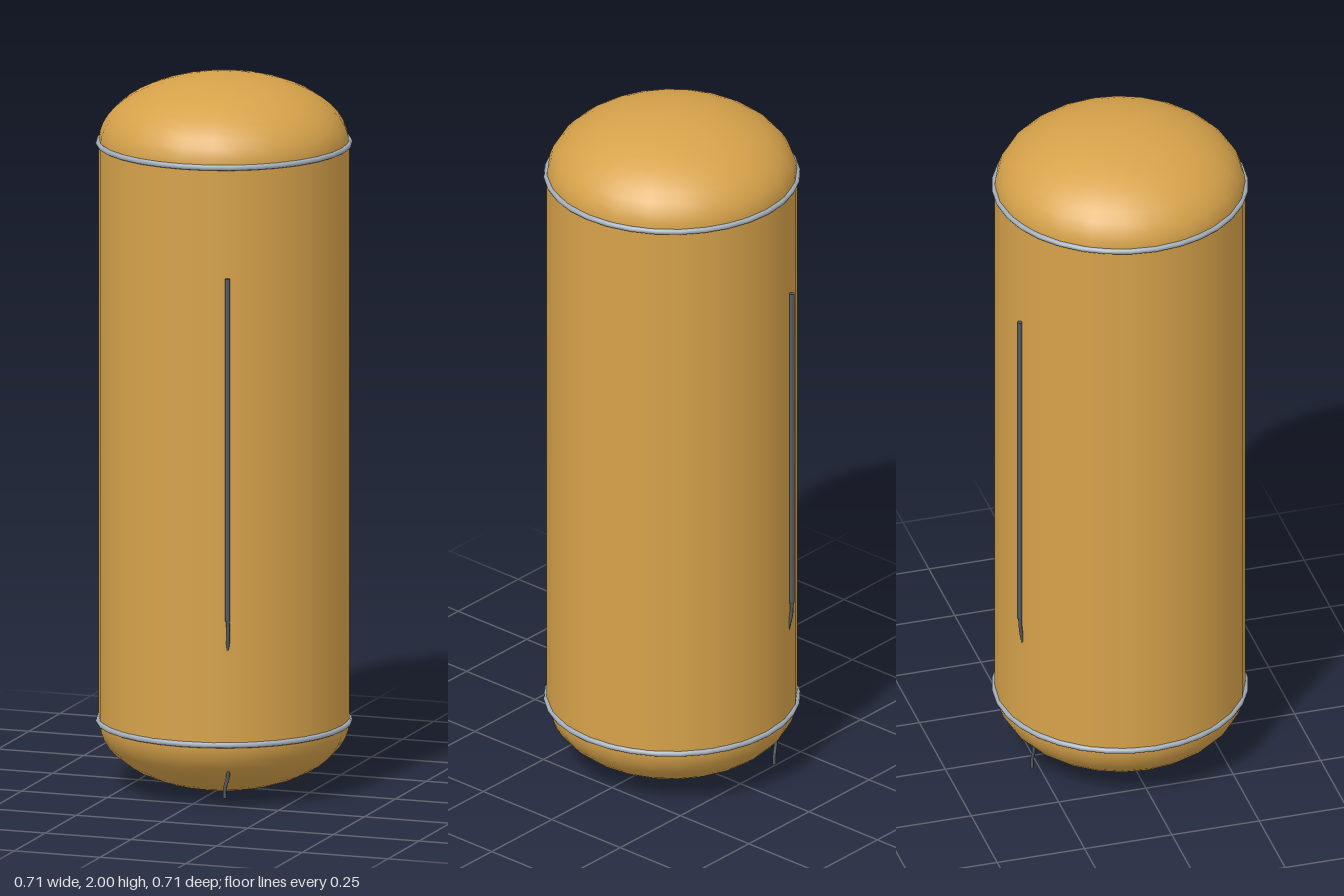
import * as THREE from 'three';

const R = 0.345, LOW = 0.19, HIGH = 1.81, DOME = 0.187, SIDES = 24;

export function createModel() {
  const model = new THREE.Group();
  model.name = 'tank';
  const gold = new THREE.MeshStandardMaterial({ name: 'ochre paint', color: 0xd6a24a });
  const steel = new THREE.MeshStandardMaterial({ name: 'pale steel', color: 0xa3afbb });
  const dark = new THREE.MeshStandardMaterial({ name: 'dark cable', color: 0x525a62 });

  const add = (parent, name, geometry, material, y = 0) => {
    const mesh = new THREE.Mesh(geometry, material);
    mesh.name = name;
    mesh.position.y = y;
    parent.add(mesh);
    return mesh;
  };

  // Straight shell
  add(model, 'shell', new THREE.CylinderGeometry(R, R, HIGH - LOW, SIDES, 1, true), gold, (LOW + HIGH) / 2);

  // Flattened domes and the seam ring beside each one
  for (const [name, y, start] of [['top', HIGH, 0], ['bottom', LOW, Math.PI / 2]]) {
    const dome = new THREE.SphereGeometry(R, SIDES, 12, 0, Math.PI * 2, start, Math.PI / 2);
    dome.scale(1, (name === 'top' ? 2 - HIGH : DOME) / R, 1);
    add(model, name + 'Dome', dome, gold, y);

    const ring = new THREE.TorusGeometry(R, 0.008, 8, 32);
    ring.rotateX(Math.PI / 2);
    add(model, name + 'SeamRing', ring, steel, y);
  }

  // Conduit on the front and the back, with a cable running down through the lower dome
  for (const side of [0, 1]) {
    const line = new THREE.Group();
    line.name = side ? 'backCableRun' : 'frontCableRun';
    line.rotation.y = 0.375 + side * Math.PI;
    model.add(line);

    const conduit = add(line, 'conduit', new THREE.CylinderGeometry(0.007, 0.007, 0.96, 8), dark, 1.02);
    conduit.position.z = 0.35;

    const path = new THREE.CatmullRomCurve3([
      [0, 0.56, 0.35], [0.002, 0.5, 0.347], [0, 0.44, 0.335], [0, 0.28, 0.318],
      [0.004, 0.13, 0.304], [0.002, 0.09, 0.302], [-0.006, 0.06, 0.301], [-0.006, 0.033, 0.301],
    ].map((p) => new THREE.Vector3(...p)));
    add(line, 'cable', new THREE.TubeGeometry(path, 40, 0.005, 6), dark);
  }
  return model;
}
